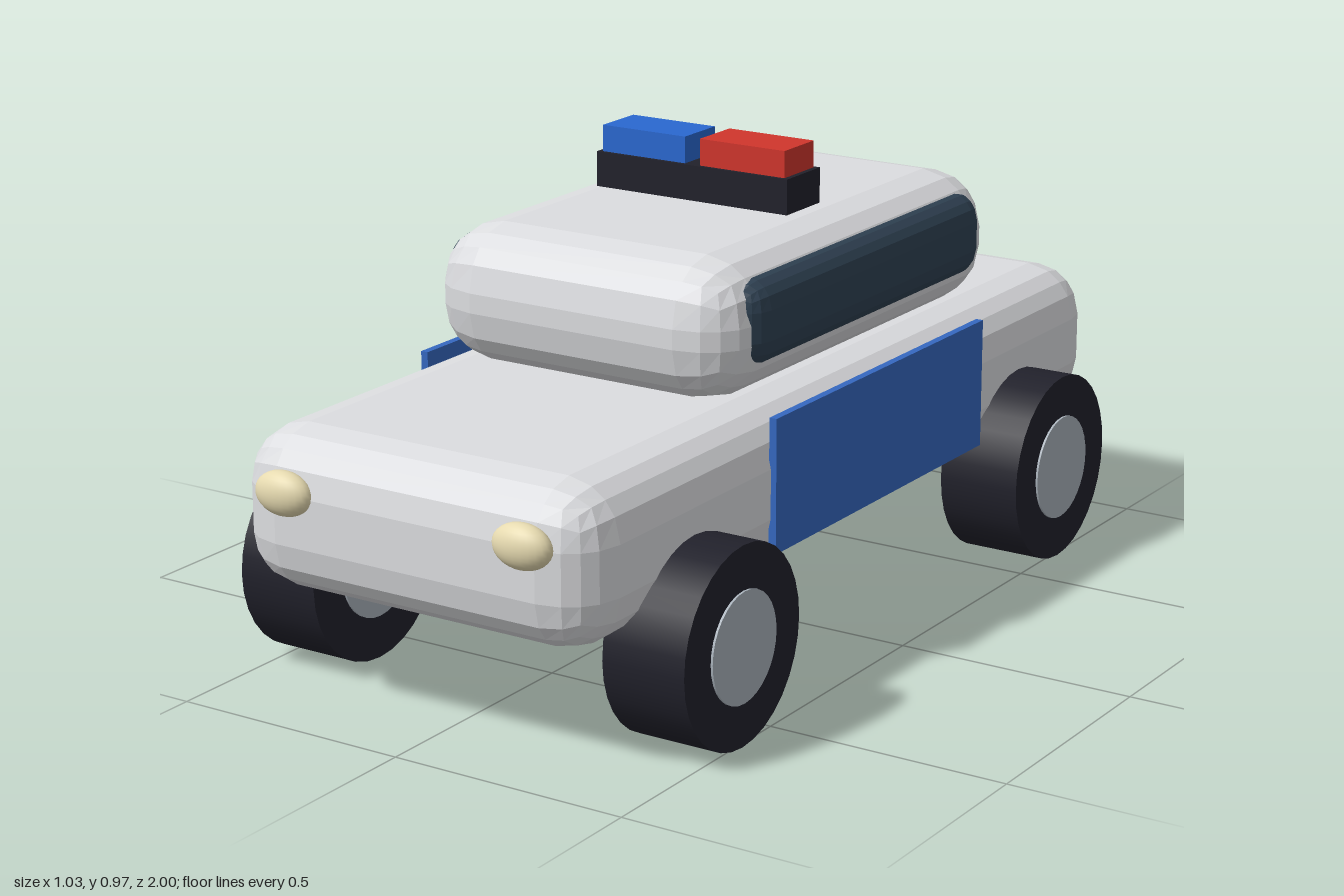
import * as THREE from 'three';
import { RoundedBoxGeometry } from 'three/addons/geometries/RoundedBoxGeometry.js';

const material = (name, color, flatShading = false) => {
  const m = new THREE.MeshStandardMaterial({ color, flatShading });
  m.name = name;
  return m;
};

export function createModel() {
  const car = new THREE.Group();
  car.name = 'patrolCar';

  const paint = material('bodyPaint', 0xdcdde0, true);
  const glass = material('windowGlass', 0x2f4152, true);
  const doorBlue = material('doorBlue', 0x3568c0);
  const rubber = material('blackRubber', 0x21212b);
  const steel = material('hubSteel', 0xa9b2bb);
  const lampBlue = material('beaconBlue', 0x2a68d0);
  const lampRed = material('beaconRed', 0xd0352c);
  const lampCream = material('headlightCream', 0xe6dab0);

  const add = (name, geometry, mat, x, y, z, parent = car) => {
    const mesh = new THREE.Mesh(geometry, mat);
    mesh.name = name;
    mesh.position.set(x, y, z);
    parent.add(mesh);
    return mesh;
  };

  // Lower body and cabin, with coarse rounded edges
  add('body', new RoundedBoxGeometry(0.81, 0.32, 1.967, 2, 0.11), paint, 0, 0.398, -0.0165);
  add('cabin', new RoundedBoxGeometry(0.71, 0.28, 1.07, 2, 0.12), paint, 0, 0.695, -0.105);

  // Glass block that bulges out of both cabin sides
  add('sideWindows', new RoundedBoxGeometry(0.736, 0.18, 0.91, 2, 0.06), glass, 0, 0.71, -0.105);

  // Light bar on the roof
  add('lightBarBase', new THREE.BoxGeometry(0.45, 0.072, 0.125), rubber, 0, 0.88, -0.058);
  const lamp = new THREE.BoxGeometry(0.197, 0.055, 0.11);
  add('redBeacon', lamp, lampRed, 0.116, 0.943, -0.058);
  add('blueBeacon', lamp, lampBlue, -0.116, 0.943, -0.058);

  // Mirrored parts
  const doorShape = new THREE.BoxGeometry(0.016, 0.27, 0.81);
  const headlightShape = new THREE.SphereGeometry(1, 24, 16).scale(0.063, 0.044, 0.033);
  const tyreShape = new THREE.CylinderGeometry(0.198, 0.198, 0.177, 32).rotateZ(Math.PI / 2);
  const hubShape = new THREE.CylinderGeometry(0.11, 0.11, 0.186, 32).rotateZ(Math.PI / 2);
  for (const [side, s] of [['left', 1], ['right', -1]]) {
    add(side + 'DoorPanel', doorShape, doorBlue, s * 0.409, 0.415, -0.055);
    add(side + 'Headlight', headlightShape, lampCream, s * 0.27, 0.452, 0.967);
    for (const [end, z] of [['Front', 0.615], ['Rear', -0.645]]) {
      const wheel = new THREE.Group();
      wheel.name = side + end + 'Wheel';
      wheel.position.set(s * 0.422, 0.198, z);
      add('tyre', tyreShape, rubber, 0, 0, 0, wheel);
      add('hub', hubShape, steel, 0, 0, 0, wheel);
      car.add(wheel);
    }
  }
  return car;
}
